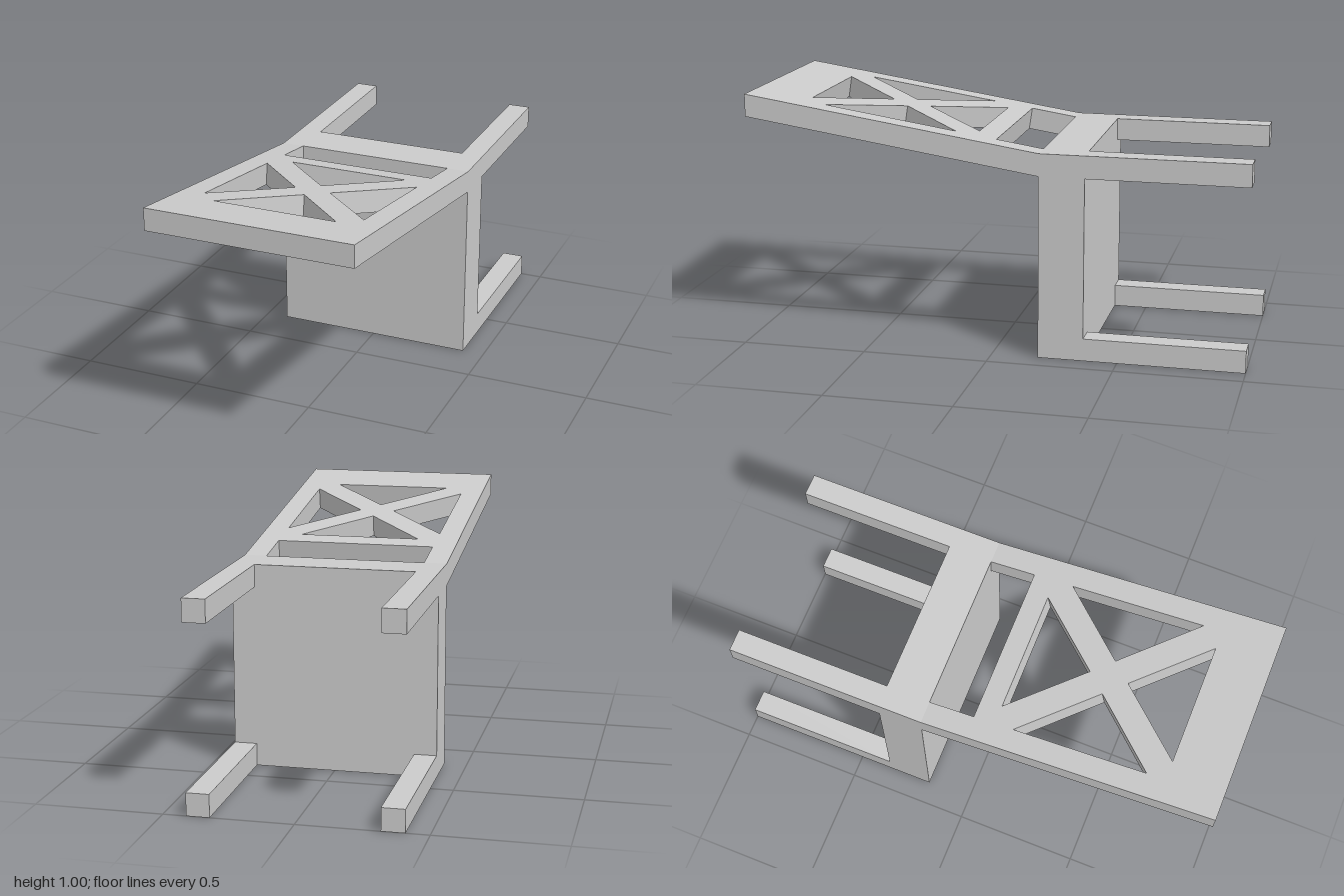
import * as THREE from 'three';

const material = new THREE.MeshStandardMaterial({ color: 0xcccccc, flatShading: true });

const HALF_W = 0.41, BAR = 0.09, INNER = HALF_W - BAR;
const SEAT_BACK = -0.366, SEAT_FRONT = -0.186, HEIGHT = 0.82;

function addBox(group, name, x0, x1, y0, y1, z0, z1) {
  const mesh = new THREE.Mesh(new THREE.BoxGeometry(x1 - x0, y1 - y0, z1 - z0), material);
  mesh.position.set((x0 + x1) / 2, (y0 + y1) / 2, (z0 + z1) / 2);
  mesh.name = name;
  group.add(mesh);
}

// Points are [x, z] in plan; the shape plane is turned to lie flat afterwards
const plan = (points) => points.map(([x, z]) => new THREE.Vector2(x, -z));

// Sloping backrest frame with a crossed brace left between four triangular openings
function backrestGeometry() {
  const shape = new THREE.Shape(plan([
    [-HALF_W, 1], [HALF_W, 1], [HALF_W, SEAT_FRONT], [INNER, SEAT_FRONT],
    [INNER, 0], [-INNER, 0], [-INNER, SEAT_FRONT], [-HALF_W, SEAT_FRONT],
  ]));
  const openings = [
    [[-0.244, 0.087], [0.244, 0.087], [0, 0.355]],
    [[-0.244, 0.775], [0, 0.51], [0.244, 0.775]],
  ];
  for (const s of [-1, 1]) {
    openings.push([[s * INNER, 0.163], [s * 0.072, 0.432], [s * INNER, 0.7]]);
  }
  for (const points of openings) shape.holes.push(new THREE.Path(plan(points)));

  const geometry = new THREE.ExtrudeGeometry(shape, { depth: BAR, bevelEnabled: false });
  geometry.rotateX(-Math.PI / 2);

  // Raise along the slope; openings run square to it while both ends stay upright
  const slope = 0.18 / (1 - SEAT_FRONT);
  const lean = BAR * slope / (1 + slope * slope);
  const p = geometry.attributes.position;
  for (let i = 0; i < p.count; i++) {
    let z = p.getZ(i);
    const isTop = p.getY(i) > BAR / 2;
    const isEnd = z > 0.99 || z < SEAT_FRONT + 0.01;
    if (!isTop && !isEnd) z += lean;
    p.setZ(i, z);
    p.setY(i, HEIGHT - (isTop ? 0 : BAR) + slope * (z - SEAT_FRONT));
  }
  geometry.computeVertexNormals();
  return geometry;
}

export function createModel() {
  const chair = new THREE.Group();
  chair.name = 'chair';

  // The chair lies on its back edge: seat upright, legs pointing backwards
  addBox(chair, 'seat', -HALF_W, HALF_W, 0, HEIGHT, SEAT_BACK, SEAT_FRONT);

  for (const [side, x] of [['right', -HALF_W], ['left', INNER]]) {
    for (const [level, y] of [['Lower', 0], ['Upper', HEIGHT - BAR]]) {
      addBox(chair, `${side}${level}Leg`, x, x + BAR, y, y + BAR, -1, SEAT_BACK);
    }
  }

  const backrest = new THREE.Mesh(backrestGeometry(), material);
  backrest.name = 'backrest';
  chair.add(backrest);
  return chair;
}
